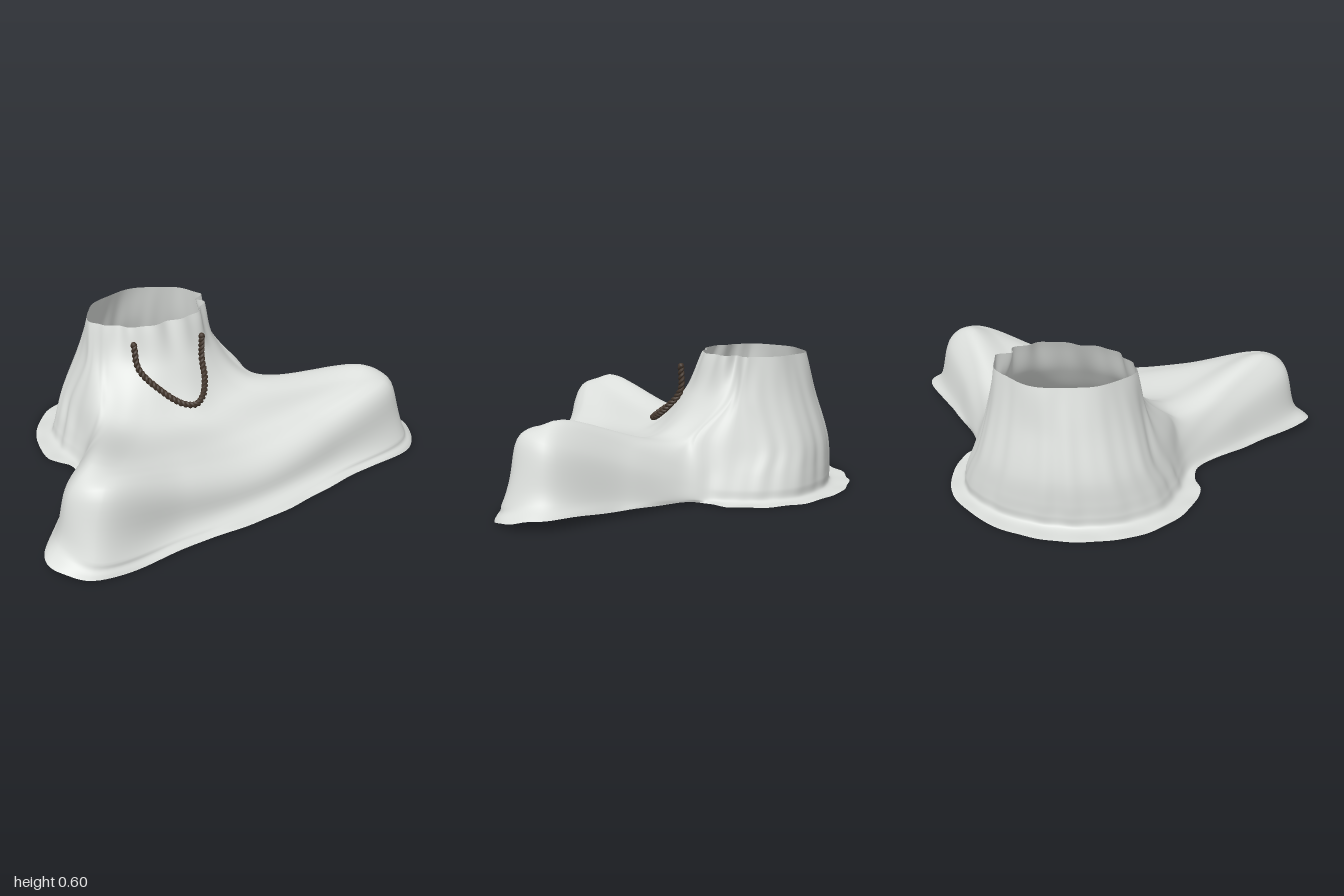
import * as THREE from 'three';

const cloth = new THREE.MeshStandardMaterial({ color: 0xdbdedb, side: THREE.DoubleSide });
cloth.name = 'paleCloth';
const brown = new THREE.MeshStandardMaterial({ color: 0x43362c });
brown.name = 'brownCord';

const AROUND = 234, DOWN = 54;
const vec = (x, y, z) => new THREE.Vector3(x, y, z);
const { smoothstep } = THREE.MathUtils;

// Closed curve through 18 spokes: back centre, +x side, front centre, mirrored -x side.
// The back is an ellipse about (xc, zc); lower rings swap the front arc for a thigh, knee and lap.
function ring(y, xc, rx, zc, rz, legs) {
  const half = [];
  for (let k = 0; k <= 9; k++) {
    const a = k <= 3 ? k * 0.533 : 1.6 + ((k - 3) * (Math.PI - 1.6)) / 6;
    half.push(vec(rx * Math.sin(a), y, zc - rz * Math.cos(a)));
  }
  if (legs) {
    const { knee, corner, lap } = legs;
    const crease = vec(Math.min(rx + 0.02, 0.53), y * 1.15 + 0.01, -0.07);
    const sag = corner.clone().lerp(lap, 0.5);
    sag.y -= 0.14 * (corner.y - lap.y);
    half.splice(4, 6, crease, crease.clone().lerp(knee, 0.47), knee, corner, sag, lap);
  }
  const left = half.slice(1, -1).reverse().map((p) => vec(-p.x, p.y, p.z));
  const all = [...half, ...left];
  // The offset fades out from the waist towards the knees
  all.forEach((p) => { p.x += xc * (1 - smoothstep(p.z, 0, 0.3)); });
  return new THREE.CatmullRomCurve3(all, true, 'centripetal');
}

const rings = [
  ring(0.6, 0.055, 0.31, -0.305, 0.225),
  ring(0.42, 0.045, 0.345, -0.29, 0.295),
  // Hips and lap
  ring(0.22, 0.035, 0.405, -0.33, 0.315, { knee: vec(0.37, 0.265, 0.09), corner: vec(0.28, 0.25, 0.13), lap: vec(0, 0.228, 0.18) }),
  // Thigh ridge and knee tops
  ring(0.12, 0.035, 0.455, -0.3, 0.355, { knee: vec(0.745, 0.385, 0.46), corner: vec(0.64, 0.35, 0.51), lap: vec(0, 0.22, 0.43) }),
  // Knee shoulders and front edge
  ring(0.06, 0.035, 0.48, -0.29, 0.367, { knee: vec(0.86, 0.31, 0.48), corner: vec(0.77, 0.335, 0.595), lap: vec(0, 0.18, 0.59) }),
  // Foot of the wall
  ring(0.015, 0.03, 0.5, -0.28, 0.383, { knee: vec(0.925, 0.1, 0.48), corner: vec(0.86, 0.07, 0.65), lap: vec(0, 0.025, 0.667) }),
  // Spread hem
  ring(0.004, 0.018, 0.57, -0.25, 0.5, { knee: vec(0.995, 0.042, 0.51), corner: vec(0.89, 0.008, 0.675), lap: vec(0, 0.004, 0.742) }),
];

// Wavy inset of the waist edge, with one deep dent on the +x side
const waistInset = (a) =>
  0.009 * Math.sin(a * 5 + 1) + 0.006 * Math.sin(a * 11) - 0.055 * Math.exp(-(((a - 1.45) / 0.2) ** 2));

function drapedCloth() {
  const pos = [], index = [];
  for (let i = 0; i < AROUND; i++) {
    const t = i / AROUND, a = t * Math.PI * 2;
    const spoke = new THREE.CatmullRomCurve3(rings.map((c) => c.getPoint(t)), false, 'centripetal');
    const back = smoothstep(Math.cos(a), -0.15, 0.3);
    const front = smoothstep(-Math.cos(a), 0.3, 0.9);
    for (let j = 0; j <= DOWN; j++) {
      const v = j / DOWN, p = spoke.getPoint(v);
      const hem = smoothstep(v, 0.85, 1);
      // Upright pleats round the waist and a ruffled hem
      const out = vec(p.x - 0.04, 0, p.z + 0.28).normalize();
      const pleat = Math.sin(a * 23 + 2 * Math.sin(a * 5)) + 0.6 * Math.sin(a * 41 + 1);
      p.addScaledVector(out, waistInset(a) * (1 - smoothstep(v, 0, 0.2))
        + 0.0035 * back * pleat * Math.sin(Math.PI * Math.min(1, v * 1.1))
        + 0.004 * hem * Math.sin(a * 19 + 3 * Math.sin(a * 4)));
      // Long slack folds across the front
      const fold = Math.sin(v * 42 + 4 * Math.sin(a * 1.5)) * smoothstep(v, 0.5, 0.65) * (1 - hem);
      p.z += 0.005 * front * fold;
      p.y = Math.max(0, p.y + 0.002 * hem * Math.sin(a * 27));
      pos.push(p.x, p.y, p.z);
      if (j < DOWN) {
        const n = DOWN + 1, q = i * n + j, r = ((i + 1) % AROUND) * n + j;
        index.push(q, r, q + 1, r, r + 1, q + 1);
      }
    }
  }
  const geo = new THREE.BufferGeometry();
  geo.setAttribute('position', new THREE.Float32BufferAttribute(pos, 3));
  geo.setIndex(index);
  geo.computeVertexNormals();
  const mesh = new THREE.Mesh(geo, cloth);
  mesh.name = 'drapedTrousers';
  return mesh;
}

function twistedCord() {
  const group = new THREE.Group();
  group.name = 'drawstring';
  const path = new THREE.CatmullRomCurve3([
    vec(-0.172, 0.535, -0.082), vec(-0.175, 0.43, -0.04), vec(-0.12, 0.345, 0.055), vec(-0.06, 0.295, 0.132),
    vec(0, 0.28, 0.155), vec(0.06, 0.297, 0.132), vec(0.115, 0.35, 0.075), vec(0.14, 0.425, 0.018),
    vec(0.14, 0.535, 0.015),
  ]);
  const steps = 200, frames = path.computeFrenetFrames(steps);
  for (const phase of [0, Math.PI]) {
    const pts = [];
    for (let i = 0; i <= steps; i++) {
      const a = phase + (i / steps) * Math.PI * 36;
      pts.push(path.getPointAt(i / steps)
        .addScaledVector(frames.normals[i], 0.007 * Math.cos(a))
        .addScaledVector(frames.binormals[i], 0.007 * Math.sin(a)));
    }
    const strand = new THREE.Mesh(new THREE.TubeGeometry(new THREE.CatmullRomCurve3(pts), 300, 0.0085, 7), brown);
    strand.name = 'cordStrand';
    group.add(strand);
  }
  // Knotted ends
  for (const t of [0, 1]) {
    const knot = new THREE.Mesh(new THREE.SphereGeometry(0.014, 12, 8), brown);
    knot.name = 'cordEnd';
    knot.position.copy(path.getPointAt(t));
    group.add(knot);
  }
  return group;
}

export function createModel() {
  const model = new THREE.Group();
  model.name = 'seatedTrousers';
  model.add(drapedCloth(), twistedCord());
  return model;
}
